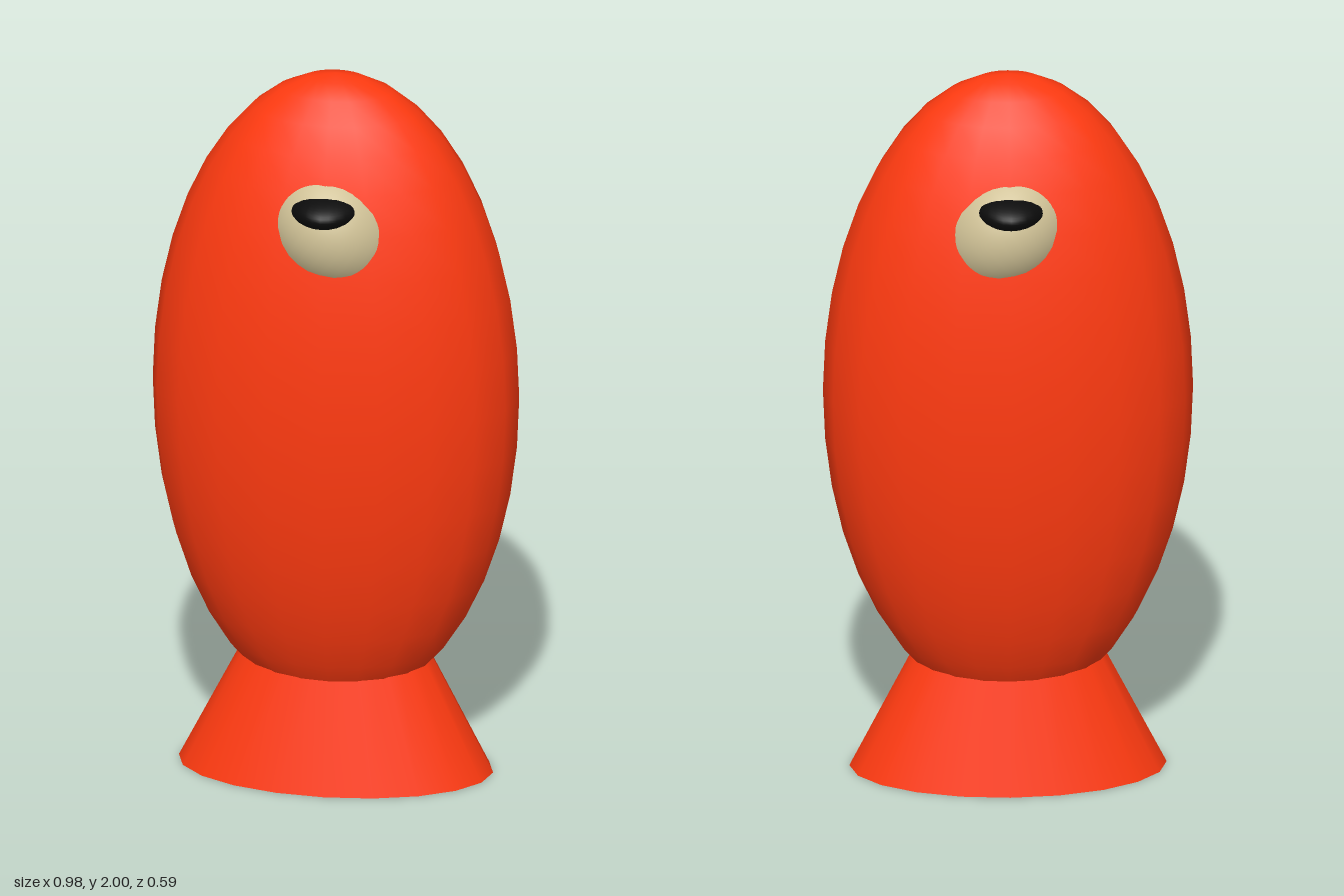
import * as THREE from 'three';

const paint = (color) => new THREE.MeshStandardMaterial({ color });

// Ellipsoid with the given radii, centre and roll about z
function ellipsoid(name, material, radii, centre, segments, roll = 0) {
  const geometry = new THREE.SphereGeometry(1, segments, segments);
  geometry.scale(...radii);
  const mesh = new THREE.Mesh(geometry, material);
  mesh.name = name;
  mesh.position.set(...centre);
  mesh.rotation.z = roll;
  return mesh;
}

export function createModel() {
  const model = new THREE.Group();
  model.name = 'fish';
  const red = paint(0xff3a10);

  // Tall flattened body
  model.add(ellipsoid('body', red, [0.49, 0.91, 0.293], [0, 1.09, 0], 20));

  // Flared tail, its narrow end hidden in the body
  const tailGeometry = new THREE.CylinderGeometry(0.21, 0.42, 0.42, 20);
  tailGeometry.scale(1, 1, 0.535);
  const tail = new THREE.Mesh(tailGeometry, red);
  tail.name = 'tail';
  tail.position.y = 0.21;
  model.add(tail);

  // Eyes and pupils run through the head and show on both faces
  model.add(ellipsoid('eyes', paint(0xcdbf94), [0.225, 0.2, 0.283], [0.012, 1.61, 0], 40, -0.6));
  model.add(ellipsoid('pupils', paint(0x0a0a0a), [0.14, 0.07, 0.293], [0, 1.69, 0], 40));

  return model;
}
